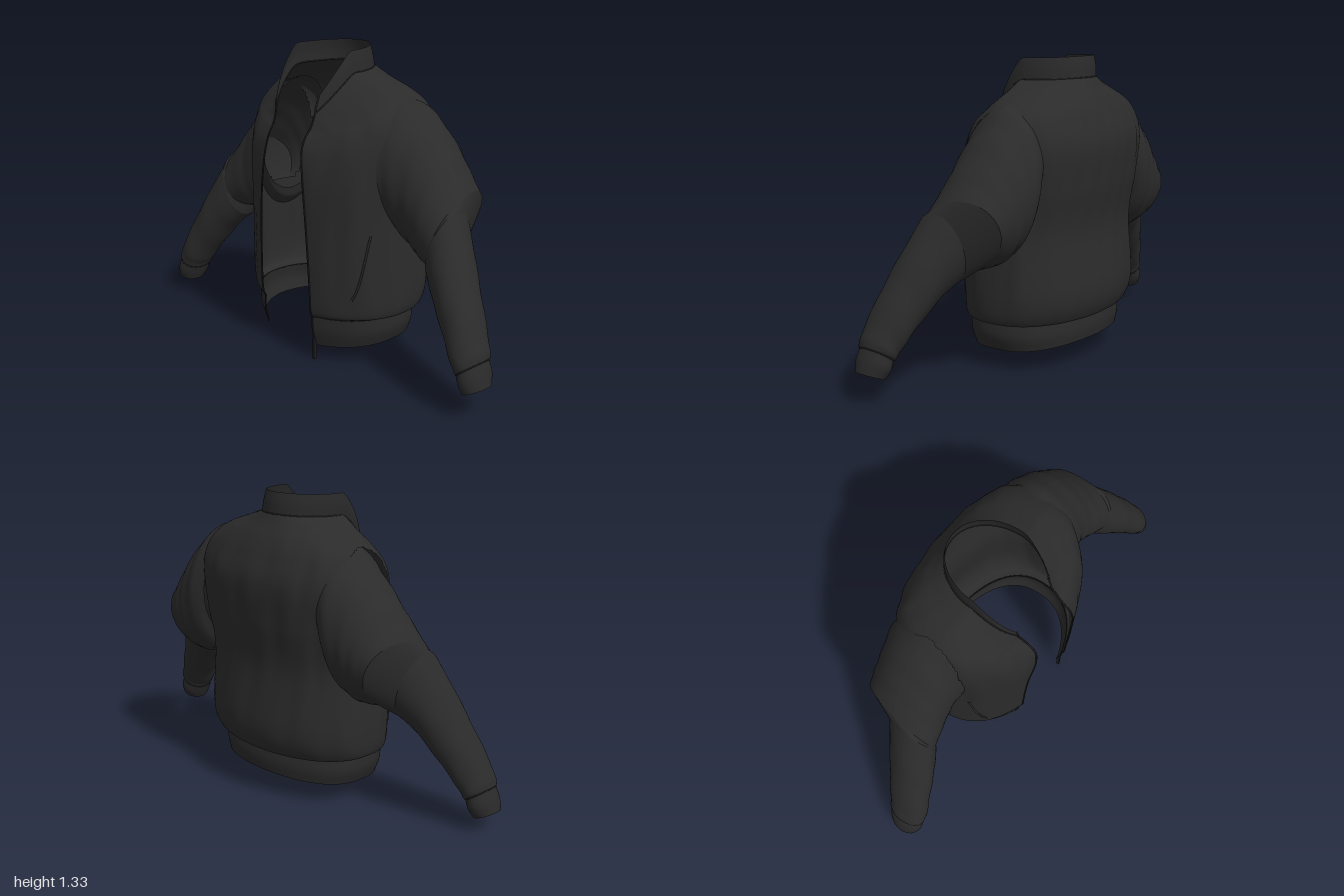
import * as THREE from 'three';

const shell = new THREE.MeshStandardMaterial({ color: 0x2b2b2b, side: THREE.DoubleSide });
shell.name = 'black shell fabric';
const rib = new THREE.MeshStandardMaterial({ color: 0x292929, side: THREE.DoubleSide });
rib.name = 'black ribbed knit';
const seam = new THREE.MeshStandardMaterial({ color: 0x1d1d1d });
seam.name = 'dark seam thread';

// Grid surface from a function of (u, v); cells whose centre passes the hole test are left out
function surface(fn, nu, nv, hole = () => false) {
  const pos = [], idx = [];
  for (let j = 0; j <= nv; j++)
    for (let i = 0; i <= nu; i++) pos.push(...fn(i / nu, j / nv).toArray());
  for (let j = 0; j < nv; j++)
    for (let i = 0; i < nu; i++) {
      if (hole(fn((i + 0.5) / nu, (j + 0.5) / nv))) continue;
      const a = j * (nu + 1) + i, c = a + nu + 1;
      idx.push(a, a + 1, c, a + 1, c + 1, c);
    }
  const g = new THREE.BufferGeometry();
  g.setAttribute('position', new THREE.Float32BufferAttribute(pos, 3));
  g.setIndex(idx);
  g.computeVertexNormals();
  return g;
}

// Smooth interpolation through rows of parameters, v in 0..1
function rows(list) {
  const curve = new THREE.CubicInterpolant(list.map((_, i) => i), list.flat(), list[0].length, []);
  return v => [...curve.evaluate(v * (list.length - 1))];
}

// Torso levels: y front, y side, y back, centre x, half width, z front, z back,
// opening right x, left x, back roundness (lower is squarer)
const NECK = [1.00, 1.23, 1.24, -0.05, 0.182, 0.275, -0.19, -0.17, 0.075, 0.95];
const WAIST = [0.20, 0.21, 0.21, -0.02, 0.387, 0.308, -0.247, -0.20, 0.13, 0.8];
const HEM = [
  [0.06, 0.09, 0.11, -0.02, 0.37, 0.29, -0.25, -0.21, 0.13, 0.8],
  [0.13, 0.15, 0.16, -0.02, 0.39, 0.305, -0.255, -0.21, 0.13, 0.8],
  WAIST];
const BODY = [
  WAIST,
  [0.23, 0.23, 0.23, -0.02, 0.425, 0.317, -0.285, -0.20, 0.13, 0.8],
  [0.34, 0.34, 0.34, -0.02, 0.435, 0.322, -0.31, -0.20, 0.13, 0.72],
  [0.60, 0.60, 0.60, -0.02, 0.425, 0.327, -0.285, -0.19, 0.12, 0.62],
  [0.80, 0.80, 0.80, -0.02, 0.43, 0.332, -0.31, -0.16, 0.11, 0.52],
  [0.91, 0.97, 0.97, -0.02, 0.435, 0.315, -0.32, -0.145, 0.09, 0.5],
  [0.97, 1.09, 1.08, -0.02, 0.41, 0.285, -0.285, -0.15, 0.08, 0.52],
  [0.99, 1.155, 1.15, -0.025, 0.345, 0.268, -0.25, -0.155, 0.08, 0.65],
  [1.00, 1.20, 1.20, -0.04, 0.25, 0.265, -0.215, -0.16, 0.08, 0.85],
  NECK];
const COLLAR = [
  NECK,
  [1.01, 1.275, 1.29, -0.055, 0.18, 0.275, -0.185, -0.17, 0.075, 0.95],
  [1.02, 1.322, 1.33, -0.058, 0.172, 0.27, -0.175, -0.17, 0.075, 0.95]];

// Open wrap running from the left front edge round the back to the right front edge
function wrap(levels, wrinkle = 0) {
  const at = rows(levels);
  return (u, v) => {
    const [yF, yS, yB, cx, a, zF, zB, xR, xL, p] = at(v);
    const t0 = Math.asin((xL - cx) / a), t1 = Math.PI * 2 + Math.asin((xR - cx) / a);
    const t = t0 + (t1 - t0) * u, s = Math.sin(t), c = Math.cos(t);
    const w = 1 + wrinkle * Math.sin(Math.PI * v) * (Math.sin(13 * t + 7 * v) + 0.6 * Math.sin(23 * t - 16 * v));
    const x = cx + w * a * s;
    const z = (zF + zB) / 2 + w * (zF - zB) / 2 * Math.sign(c) * Math.abs(c) ** (c > 0 ? 0.92 : p);
    const y = c > 0 ? yS + (yF - yS) * c ** 1.15 : yS + (yB - yS) * c * c;
    return new THREE.Vector3(x, y, z);
  };
}

// Armholes, a little smaller than the sleeve heads that cover them
const armhole = p => Math.abs(p.x + 0.02) > 0.25
  && ((p.z + 0.035) / 0.165) ** 2 + ((p.y - 0.88) / 0.245) ** 2 < 1;

// Sleeve rings: outer x, y, inner x, y, z front, z back, lift of the rear edge
const UPPER = [
  [0.31, 1.155, 0.39, 0.61, 0.155, -0.235, 0],
  [0.405, 1.115, 0.41, 0.55, 0.14, -0.26, 0],
  [0.525, 1.00, 0.47, 0.505, 0.125, -0.25, 0.01],
  [0.625, 0.87, 0.53, 0.475, 0.135, -0.24, 0.04],
  [0.71, 0.755, 0.61, 0.455, 0.15, -0.225, 0.08]];
const FOREARM = [
  [0.71, 0.745, 0.62, 0.44, 0.155, -0.085, 0],
  [0.79, 0.605, 0.68, 0.39, 0.19, -0.04, 0],
  [0.87, 0.46, 0.765, 0.295, 0.22, 0.01, 0],
  [0.945, 0.31, 0.835, 0.205, 0.245, 0.055, 0],
  [0.968, 0.25, 0.86, 0.17, 0.245, 0.07, 0],
  [0.965, 0.235, 0.87, 0.16, 0.24, 0.08, 0]];
const CUFF = [
  FOREARM[5],
  [0.985, 0.19, 0.885, 0.125, 0.245, 0.08, 0],
  [0.998, 0.14, 0.90, 0.095, 0.235, 0.10, 0]];
const TUCK = [UPPER[4], FOREARM[0]];

function sleeveTube(rings, side, wrinkle = 0) {
  const at = rows(rings);
  return (u, v) => {
    const [ox, oy, ix, iy, zF, zB, lift] = at(v), t = u * Math.PI * 2;
    const w = 1 + wrinkle * Math.sin(Math.PI * v) * (Math.sin(26 * v + 2 * Math.cos(t)) + 0.5 * Math.sin(5 * t + 9 * v));
    const c = Math.cos(t) * w / 2, s = Math.sin(t) * w / 2 * side;
    const rear = lift * (0.5 - s);
    const x = (ox + ix) / 2 + (ox - ix) * c - 0.6 * rear;
    // the right arm hangs a little lower
    const drop = side < 0 ? 0.045 * THREE.MathUtils.smoothstep(x, 0.6, 1) : 0;
    return new THREE.Vector3(side * x, (oy + iy) / 2 + (oy - iy) * c + rear - drop, (zF + zB) / 2 + (zF - zB) * s);
  };
}

export function createModel() {
  const model = new THREE.Group();
  model.name = 'jacket';
  const add = (name, geo, mat, parent = model) => {
    const m = new THREE.Mesh(geo, mat);
    m.name = name;
    parent.add(m);
    return m;
  };
  // Thin cord following a surface function through (u, v) points
  const cord = (name, fn, uv, r, mat, parent) => {
    const pts = uv.map(([u, v]) => fn(u, v));
    return add(name, new THREE.TubeGeometry(new THREE.CatmullRomCurve3(pts), 40, r, 6), mat, parent);
  };
  const steps = n => Array.from({ length: n + 1 }, (_, i) => i / n);

  // Torso, hem and collar
  const body = wrap(BODY, 0.007), hem = wrap(HEM), collar = wrap(COLLAR);
  add('body', surface(body, 180, 90, armhole), shell);
  add('hemBand', surface(hem, 120, 8), rib);
  add('collar', surface(collar, 80, 8), rib);

  // Zip edges on both sides of the opening
  for (const [u, name] of [[0, 'left'], [1, 'right']]) {
    cord(name + 'ZipEdge', body, steps(14).map(v => [u, v]), 0.004, seam);
    cord(name + 'HemEdge', hem, steps(3).map(v => [u, v]), 0.004, seam);
    cord(name + 'CollarEdge', collar, steps(3).map(v => [u, v]), 0.004, rib);
  }
  const tail = add('zipTail', new THREE.BoxGeometry(0.01, 0.1, 0.014), seam);
  tail.position.set(0.131, 0.05, 0.279);

  // Seams round the collar and hem
  cord('collarSeam', collar, steps(24).map(u => [u, 0]), 0.003, rib);
  cord('hemSeam', hem, steps(24).map(u => [u, 1]), 0.003, seam);

  // Slanted pocket welts
  for (const [m, name] of [[u => u, 'left'], [u => 1 - u, 'right']])
    cord(name + 'PocketWelt', body, steps(6).map(k => [m(0.09 + 0.05 * k), 0.2 + 0.13 * k]), 0.005, shell);

  // Sleeves
  const parts = [
    ['upperSleeve', UPPER, 0.01, 36, shell], ['elbowTuck', TUCK, 0, 2, shell],
    ['forearm', FOREARM, 0.018, 44, shell], ['cuff', CUFF, 0, 8, rib]];
  for (const [side, name] of [[1, 'left'], [-1, 'right']]) {
    const arm = new THREE.Group();
    arm.name = name + 'Sleeve';
    model.add(arm);
    for (const [part, rings, wrinkle, nv, mat] of parts)
      add(part, surface(sleeveTube(rings, side, wrinkle), 48, nv), mat, arm);
    cord('cuffSeam', sleeveTube(CUFF, side), steps(16).map(u => [u, 0]), 0.003, rib, arm);
  }
  return model;
}
